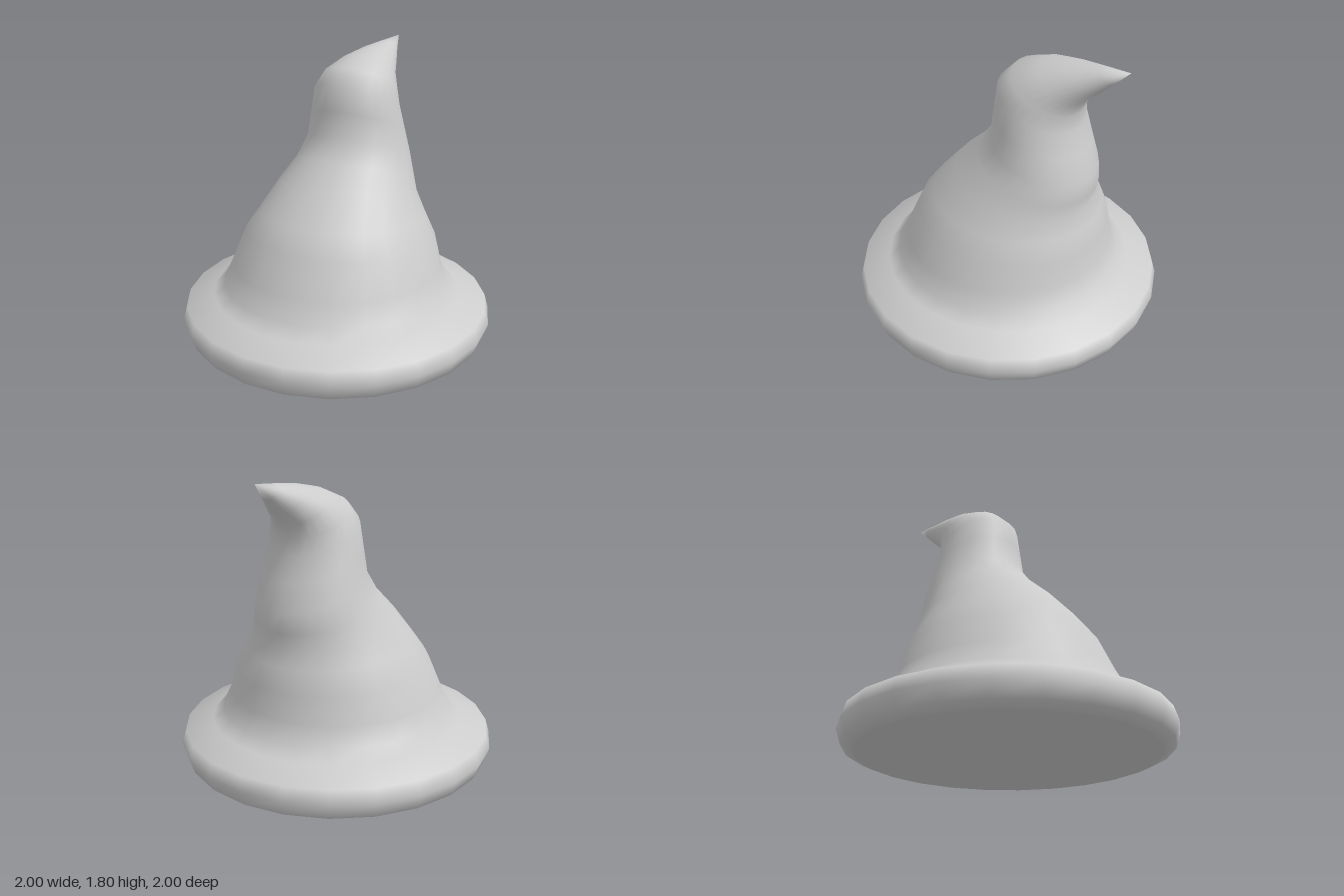
import * as THREE from 'three';

const SIDES = 24;

// Skin over tilted elliptical rings: [frontZ, frontY, backZ, backY, halfWidth], closed by a tip point
function loft(rings, tip) {
  const pos = [], idx = [];
  for (const [zf, yf, zb, yb, w] of rings) {
    for (let j = 0; j < SIDES; j++) {
      const a = (j / SIDES) * Math.PI * 2, t = (1 + Math.cos(a)) / 2;
      pos.push(w * Math.sin(a), yb + (yf - yb) * t, zb + (zf - zb) * t);
    }
  }
  const tipIndex = rings.length * SIDES;
  pos.push(...tip);
  for (let i = 0; i < rings.length; i++) {
    for (let j = 0; j < SIDES; j++) {
      const k = (j + 1) % SIDES;
      const a = i * SIDES + j, b = i * SIDES + k;
      if (i === rings.length - 1) idx.push(a, b, tipIndex);
      else idx.push(a, b, b + SIDES, a, b + SIDES, a + SIDES);
    }
  }
  const geo = new THREE.BufferGeometry();
  geo.setAttribute('position', new THREE.Float32BufferAttribute(pos, 3));
  geo.setIndex(idx);
  geo.computeVertexNormals();
  return geo;
}

export function createModel() {
  const group = new THREE.Group();
  group.name = 'pointedHat';
  const material = new THREE.MeshStandardMaterial({ color: 0xcccccc });

  // Round padded brim, level rings as [radius, height]
  const brim = [[0.9, 0], [0.97, 0.03], [1, 0.12], [0.975, 0.205], [0.8, 0.26]]
    .map(([r, y]) => [r, y, -r, y, r]);

  // Cone that slumps and bends towards the back
  const cone = [
    [0.73, 0.33, -0.73, 0.33, 0.73],
    [0.66, 0.46, -0.675, 0.44, 0.675],
    [0.56, 0.68, -0.66, 0.6, 0.61],
    [0.47, 0.8, -0.62, 0.74, 0.53],
    [0.3, 0.99, -0.58, 0.85, 0.445],
    [0.14, 1.14, -0.6, 0.94, 0.38],
    [0.05, 1.27, -0.595, 1.06, 0.335],
    [0.03, 1.43, -0.545, 1.22, 0.305],
    [0.01, 1.59, -0.5, 1.37, 0.275],
    [-0.08, 1.68, -0.5, 1.47, 0.24],
    [-0.25, 1.74, -0.53, 1.55, 0.18],
    [-0.42, 1.77, -0.62, 1.63, 0.12],
    [-0.6, 1.787, -0.7, 1.71, 0.06],
  ];
  const hat = new THREE.Mesh(loft([...brim, ...cone], [0, 1.8, -0.79]), material);
  hat.name = 'brimAndCone';
  group.add(hat);

  // Flat underside
  const base = new THREE.Mesh(new THREE.CircleGeometry(0.9, SIDES).rotateX(Math.PI / 2), material);
  base.name = 'underside';
  group.add(base);

  return group;
}
